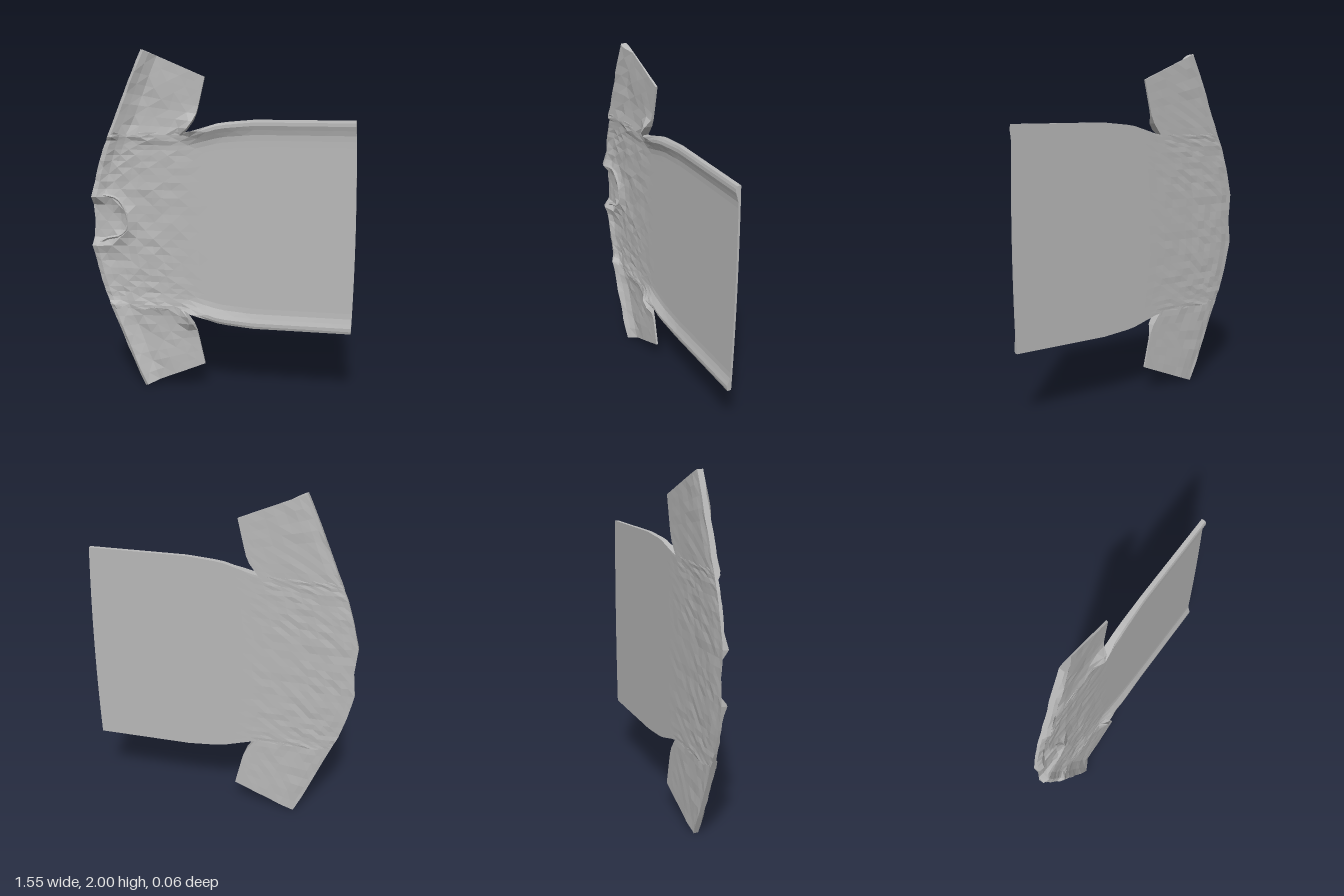
import * as THREE from 'three';

const fabric = new THREE.MeshStandardMaterial({ color: 0xb8b8b8, flatShading: true, side: THREE.DoubleSide });
fabric.name = 'grey fabric';

// Piecewise linear lookup through [key, value] pairs
function curve(points, k) {
  if (k <= points[0][0]) return points[0][1];
  for (let i = 1; i < points.length; i++) {
    const [k0, v0] = points[i - 1], [k1, v1] = points[i];
    if (k <= k1) return v0 + (v1 - v0) * (k - k0) / (k1 - k0);
  }
  return points[points.length - 1][1];
}
const bell = (d, width) => Math.exp(-(d * d) / (width * width));

// Collar, shoulder and sleeve edge, by distance from the middle line
const outerEdge = [[0, -0.762], [0.15, -0.775], [0.3, -0.74], [0.43, -0.7], [0.53, -0.655],
  [0.7, -0.585], [0.86, -0.52], [1, -0.455]];
// Half width of the torso along its length
const halfWidth = [[-0.65, 0.53], [-0.2, 0.53], [-0.1, 0.56], [0, 0.59], [0.2, 0.608], [0.775, 0.607]];
// Underside of the sleeve, by distance from the middle line
const innerEdge = [[0, -0.22], [0.15, -0.18], [0.3, -0.145], [0.5, -0.128], [1, -0.09]];

// Repeatable crumple noise
function noise(x, y, seed) {
  const s = Math.sin(x * 127.1 + y * 311.7 + seed * 74.7) * 43758.5453;
  return s - Math.floor(s) - 0.5;
}
const crumple = (x) => THREE.MathUtils.clamp((-0.12 - x) / 0.3, 0, 1);

// Thin cloth with raised folds at hems, shoulders, armpits and collar
function frontZ(x, y) {
  const d = Math.abs(y - 1), rim = Math.hypot((x + 0.76) / 0.19, d / 0.145);
  const inside = rim < 0.95;
  let z = -0.026 + 0.009 * crumple(x) * noise(x, y, 1);
  if (!inside) {
    const height = d < 0.5 ? 0.022 : 0.04;
    z += height * bell(x - curve(outerEdge, d) - 0.025, 0.04);
    z += 0.02 * bell(rim - 1.08, 0.15);
  }
  z += 0.05 * bell(x + 0.17, 0.06) * bell(d - 0.57, 0.05);
  z += 0.012 * bell(x + 0.42, 0.2) * bell(d - 0.51, 0.04);
  if (x > -0.2 && d < 0.62) {
    const amount = curve([[-0.2, 0], [-0.05, 0.032], [0.2, 0.02], [0.775, 0.017]], x);
    z += amount * bell(curve(halfWidth, x) - d - 0.025, 0.04);
  }
  return Math.min(z, 0.031);
}
function backZ(x, y) {
  const edge = bell(x - curve(outerEdge, Math.abs(y - 1)), 0.05);
  return -0.038 + crumple(x) * (0.005 * (noise(x, y, 2) + 0.5) + 0.006 * edge);
}

// Two cloth faces over a grid place(u, v) -> [x, y], closed round the rim
function cloth(name, cols, rows, place) {
  const pos = [], idx = [], w = cols + 1, n = w * (rows + 1);
  for (const depth of [frontZ, backZ])
    for (let j = 0; j <= rows; j++)
      for (let i = 0; i <= cols; i++) {
        const [x, y] = place(i / cols, j / rows);
        pos.push(x, y, depth(x, y));
      }
  for (let j = 0; j < rows; j++)
    for (let i = 0; i < cols; i++) {
      const a = j * w + i, b = a + 1, c = b + w, d = a + w;
      if ((i + j) % 2) idx.push(a, b, c, a, c, d);
      else idx.push(a, b, d, b, c, d);
      idx.push(n + a, n + c, n + b, n + a, n + d, n + c);
    }
  const rim = [];
  for (let i = 0; i < cols; i++) rim.push(i);
  for (let j = 0; j < rows; j++) rim.push(j * w + cols);
  for (let i = cols; i > 0; i--) rim.push(rows * w + i);
  for (let j = rows; j > 0; j--) rim.push(j * w);
  rim.forEach((p, k) => {
    const q = rim[(k + 1) % rim.length];
    idx.push(n + p, n + q, q, n + p, q, p);
  });
  const geo = new THREE.BufferGeometry();
  geo.setAttribute('position', new THREE.Float32BufferAttribute(pos, 3));
  geo.setIndex(idx);
  geo.computeVertexNormals();
  const mesh = new THREE.Mesh(geo, fabric);
  mesh.name = name;
  return mesh;
}

// Crowd the grid lines towards both edges
const crowd = (t) => THREE.MathUtils.lerp(t, 0.5 - 0.5 * Math.cos(Math.PI * t), 0.7);

export function createModel() {
  const group = new THREE.Group();
  group.name = 'shirt';

  // Torso, from collar to hem
  group.add(cloth('torso', 28, 30, (u, v) => {
    const t = crowd(v) * 2 - 1;
    const left = curve(outerEdge, Math.abs(t) * 0.53);
    const hem = 0.778 - 0.012 * t * t;
    const x = THREE.MathUtils.lerp(left, hem, Math.pow(u, 1.15));
    return [x, 1 + t * curve(halfWidth, x)];
  }));

  // Sleeves, with slanted cuffs
  for (const side of [1, -1]) {
    group.add(cloth(side > 0 ? 'upperSleeve' : 'lowerSleeve', 10, 8, (u, v) => {
      const s = side > 0 ? v : 1 - v, k = crowd(u);
      const d0 = 0.515 + 0.485 * s, d1 = 0.515 + 0.33 * s;
      const x = THREE.MathUtils.lerp(curve(outerEdge, d0), curve(innerEdge, s), k);
      return [x, 1 + side * THREE.MathUtils.lerp(d0, d1, k)];
    }));
  }

  // Neckline band round the collar opening
  const path = [[-0.765, 1.155], [-0.69, 1.155], [-0.615, 1.135], [-0.56, 1.04], [-0.56, 0.96],
    [-0.61, 0.915], [-0.68, 0.9], [-0.765, 0.85]];
  const line = new THREE.CatmullRomCurve3(path.map(([x, y]) => new THREE.Vector3(x, y, -0.014)));
  const band = new THREE.Mesh(new THREE.TubeGeometry(line, 18, 0.01, 5, false), fabric);
  band.name = 'necklineBand';
  group.add(band);
  return group;
}
